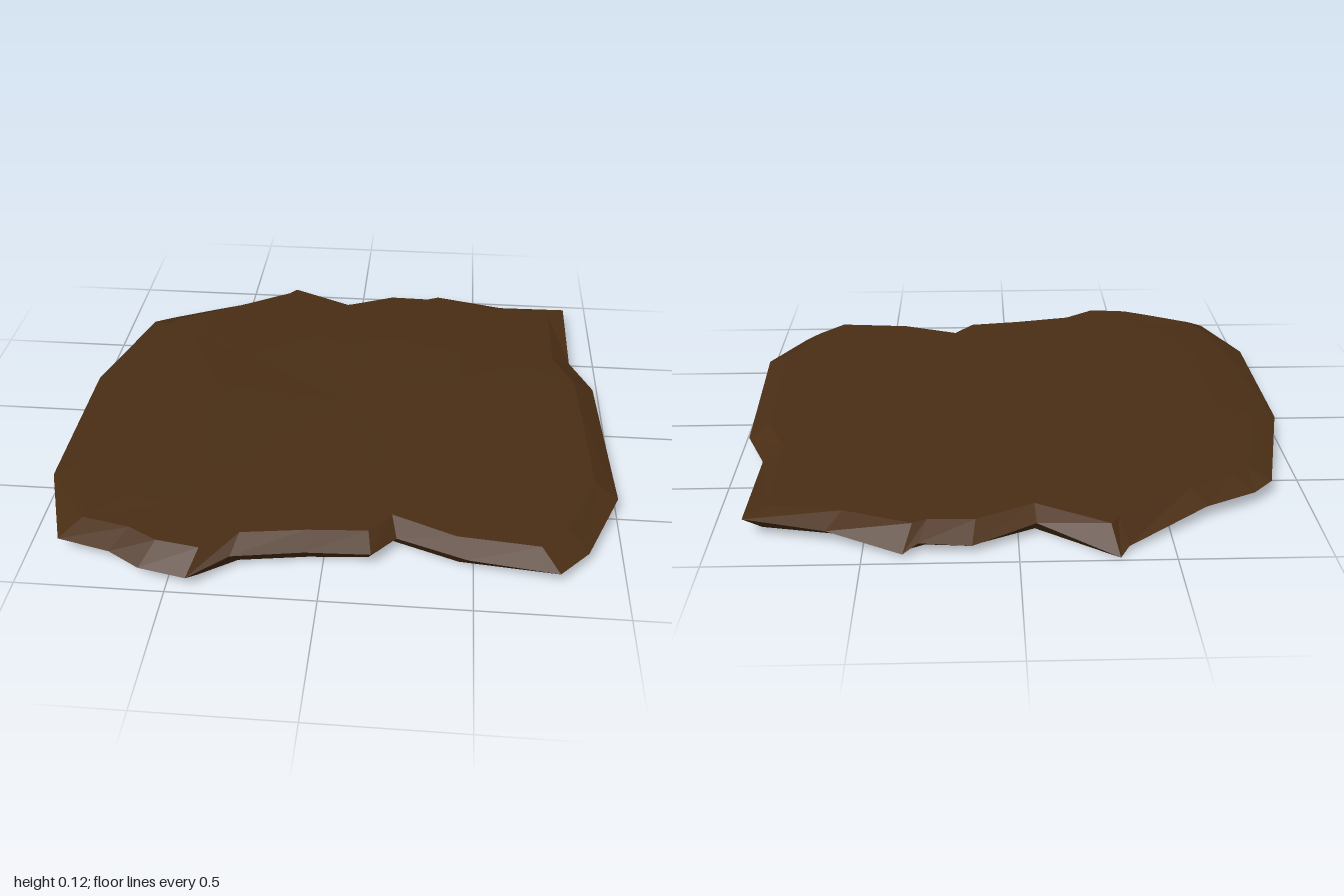
import * as THREE from 'three';

// Ragged outline of the slab: x, z and height of the sharp rim
const RIM = [
  [-0.88, -0.61, 0.06], [-0.81, -0.67, 0.05], [-0.63, -0.76, 0.05], [-0.35, -0.95, 0.02],
  [-0.32, -0.99, 0.003], [-0.06, -0.85, 0.05], [0.15, -0.95, 0.03], [0.32, -0.945, 0.04],
  [0.37, -0.97, 0.015], [0.62, -0.88, 0.05], [0.89, -0.84, 0.075], [0.89, -0.42, 0.06],
  [0.97, -0.23, 0.06], [0.98, 0, 0.06], [1, 0.47, 0.065], [0.88, 0.75, 0.05],
  [0.78, 0.86, 0.05], [0.48, 0.83, 0.06], [0.24, 0.73, 0.05], [0.16, 0.83, 0.06],
  [-0.06, 0.85, 0.07], [-0.3, 0.89, 0.07], [-0.43, 0.985, 0.05], [-0.59, 0.96, 0.06],
  [-0.7, 0.9, 0.07], [-0.89, 0.84, 0.06], [-1, 0.51, 0.07], [-1, -0.13, 0.07],
];

// Gently uneven upper face, highest towards the front left corner
function topHeight(x, z) {
  const bump = 0.02 * Math.max(0, 1 - Math.hypot(x + 0.6, z - 0.6) / 0.9);
  const backFall = 0.03 * Math.max(0, -z - 0.2);
  const sideFall = 0.08 * Math.max(0, -x - 0.65);
  return 0.104 + bump - backFall - sideFall;
}

// Nearly flat underside that lifts towards the edges
function bottomHeight(x, z) {
  return 0.06 * Math.max(0, -x - 0.45) + 0.035 * Math.max(0, x - 0.4)
    + 0.05 * Math.max(0, z - 0.65);
}

function createSlabGeometry() {
  const ring = (scale, height) => RIM.map(([x, z]) => {
    const px = x * scale, pz = z * scale;
    return [px, height(px, pz), pz];
  });
  // Rings run from the middle of the top, over the rim, to the middle below
  const rings = [
    ring(0, topHeight), ring(0.5, topHeight), ring(0.78, topHeight), ring(0.92, topHeight),
    RIM.map(([x, z, y]) => [x, y, z]),
    ring(0.94, bottomHeight), ring(0.5, bottomHeight), ring(0, bottomHeight),
  ];
  const n = RIM.length, positions = [];
  for (let r = 0; r < rings.length - 1; r++) {
    const a = rings[r], b = rings[r + 1];
    for (let i = 0; i < n; i++) {
      const j = (i + 1) % n;
      if (r > 0) positions.push(...a[i], ...a[j], ...b[j]);
      if (r < rings.length - 2) positions.push(...a[i], ...b[j], ...b[i]);
    }
  }
  const geometry = new THREE.BufferGeometry();
  geometry.setAttribute('position', new THREE.Float32BufferAttribute(positions, 3));
  geometry.computeVertexNormals();
  return geometry;
}

export function createModel() {
  const group = new THREE.Group();
  group.name = 'groundSlab';
  const material = new THREE.MeshStandardMaterial({ color: 0x4a2e15, flatShading: true });
  const slab = new THREE.Mesh(createSlabGeometry(), material);
  slab.name = 'slab';
  group.add(slab);
  return group;
}
